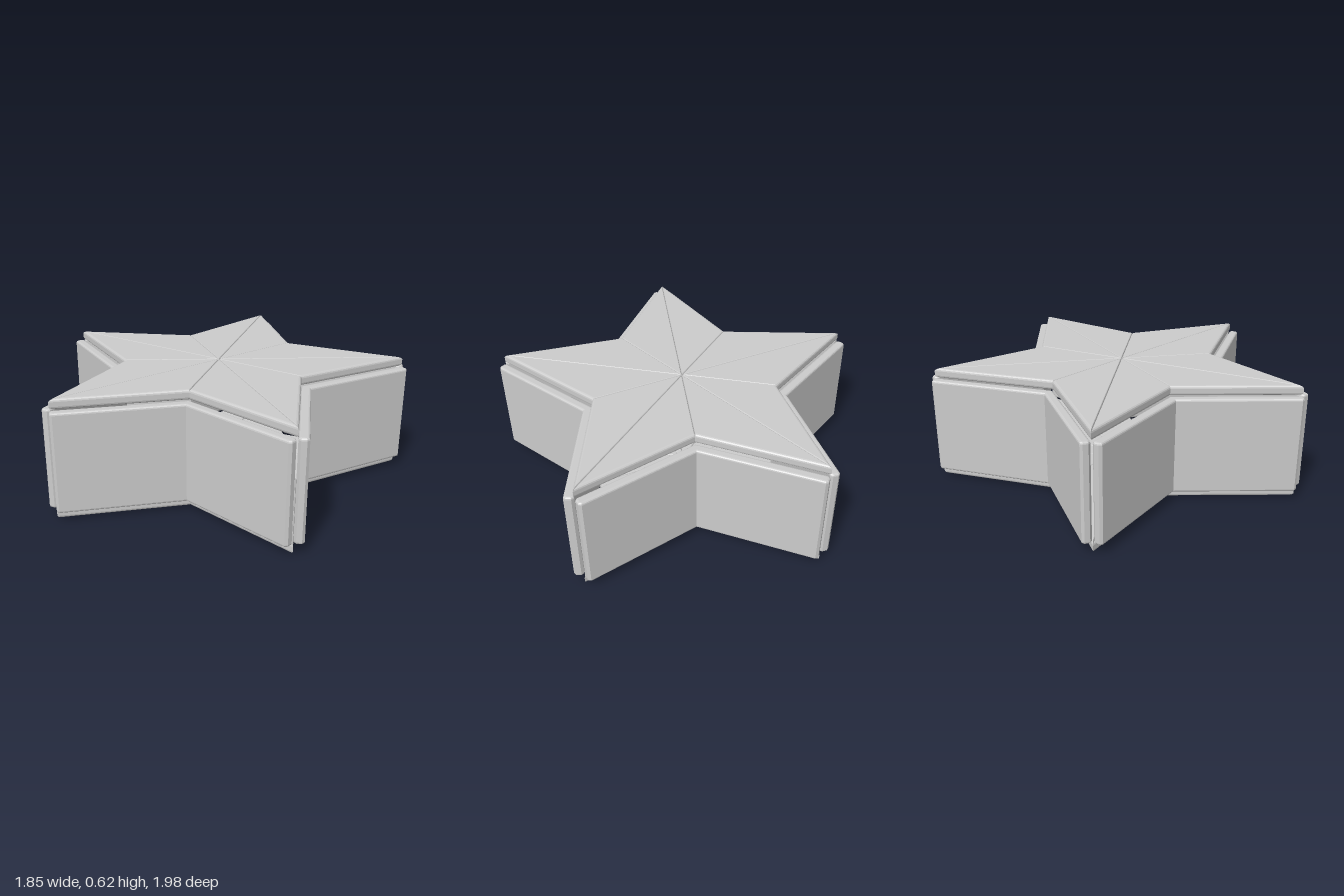
import * as THREE from 'three';

const CX = 0.082, RX = 0.992, RZ = 1.015, VALLEY = 0.505; // star plan
const PLATE = 0.052, HEIGHT = 0.625, WALL = 0.051;        // thicknesses
const V = (x, z) => new THREE.Vector2(x, z);
const along = (p, d, s) => p.clone().addScaledVector(d, s);

// Inward normal of the edge a -> b, for plans running counter-clockwise from above
function inward(a, b) {
  const d = b.clone().sub(a).normalize();
  return V(d.y, -d.x);
}

// Moves every edge of a plan inward by its own distance
function inset(pts, dist) {
  const n = pts.length;
  return pts.map((p, i) => {
    const j = (i + n - 1) % n;
    const m = inward(pts[j], p), k = inward(p, pts[(i + 1) % n]);
    const det = m.x * k.y - m.y * k.x;
    return V(p.x + (dist[j] * k.y - dist[i] * m.y) / det,
             p.y + (m.x * dist[i] - k.x * dist[j]) / det);
  });
}

// Upright block from a convex plan, with rounded top and bottom edges
function block(name, pts, bevels, y0, y1, round, material) {
  const n = pts.length, pos = [], profile = [];
  const steps = 3;
  for (let i = 0; i <= steps; i++) {
    const a = (i / steps) * Math.PI / 2;
    profile.push([1 - Math.sin(a), y0 + round * (1 - Math.cos(a))]);
  }
  for (let i = steps; i >= 0; i--) profile.push([profile[i][0], y0 + y1 - profile[i][1]]);
  const rings = profile.map(([s, y]) =>
    inset(pts, bevels.map(b => b * s)).map(p => [p.x, y, p.y]));
  const tri = (a, b, c) => pos.push(...a, ...b, ...c);
  for (let r = 0; r + 1 < rings.length; r++) {
    const lo = rings[r], hi = rings[r + 1];
    for (let i = 0; i < n; i++) {
      const j = (i + 1) % n;
      tri(lo[i], lo[j], hi[j]);
      tri(lo[i], hi[j], hi[i]);
    }
  }
  const bottom = rings[0], top = rings[rings.length - 1];
  for (let i = 1; i + 1 < n; i++) {
    tri(top[0], top[i], top[i + 1]);
    tri(bottom[0], bottom[i + 1], bottom[i]);
  }
  const geo = new THREE.BufferGeometry();
  geo.setAttribute('position', new THREE.Float32BufferAttribute(pos, 3));
  geo.computeVertexNormals();
  const mesh = new THREE.Mesh(geo, material);
  mesh.name = name;
  return mesh;
}

export function createModel() {
  const model = new THREE.Group();
  model.name = 'starBox';
  const material = new THREE.MeshStandardMaterial({ color: 0xcccccc, flatShading: true });
  const groups = {};
  for (const name of ['bottomPlate', 'topPlate', 'sideWalls']) {
    groups[name] = new THREE.Group();
    groups[name].name = name;
    model.add(groups[name]);
  }

  // Star outline: even corners are tips, odd corners are valleys
  const star = [];
  for (let i = 0; i < 10; i++) {
    const a = Math.PI + i * Math.PI / 5, r = i % 2 ? VALLEY : 1;
    star.push(V(CX + RX * r * Math.cos(a), -RZ * r * Math.sin(a)));
  }
  const outer = inset(star, star.map(() => -WALL));
  const centre = V(CX, 0);
  const b = 0.012;

  for (let i = 0; i < 10; i++) {
    const j = (i + 1) % 10, p = star[i], q = star[j];

    // Triangular plate segments, meeting in fine seams
    const wedge = [centre, p, q], seams = [0.005, 0.014, 0.005];
    groups.bottomPlate.add(block('bottomSegment', wedge, seams, 0, PLATE, 0.014, material));
    groups.topPlate.add(block('topSegment', wedge, seams, HEIGHT - PLATE, HEIGHT, 0.014, material));

    // Wall panel: chamfered at the tip, mitred at the valley
    const tipFirst = i % 2 === 0;
    const t = tipFirst ? p : q, v = tipFirst ? q : p;
    const out = inward(p, q).negate();
    const d = v.clone().sub(t).normalize();
    const plan = [
      along(t, d, b), along(t, out, b), along(t, out, WALL - b),
      along(along(t, out, WALL), d, b), outer[tipFirst ? j : i], v,
    ];
    const bevels = tipFirst ? [b, b, b, b, 0, b] : [0, b, b, b, b, b];
    if (!tipFirst) plan.reverse();
    groups.sideWalls.add(block('wallPanel', plan, bevels, PLATE, HEIGHT - PLATE, b, material));
  }
  return model;
}
